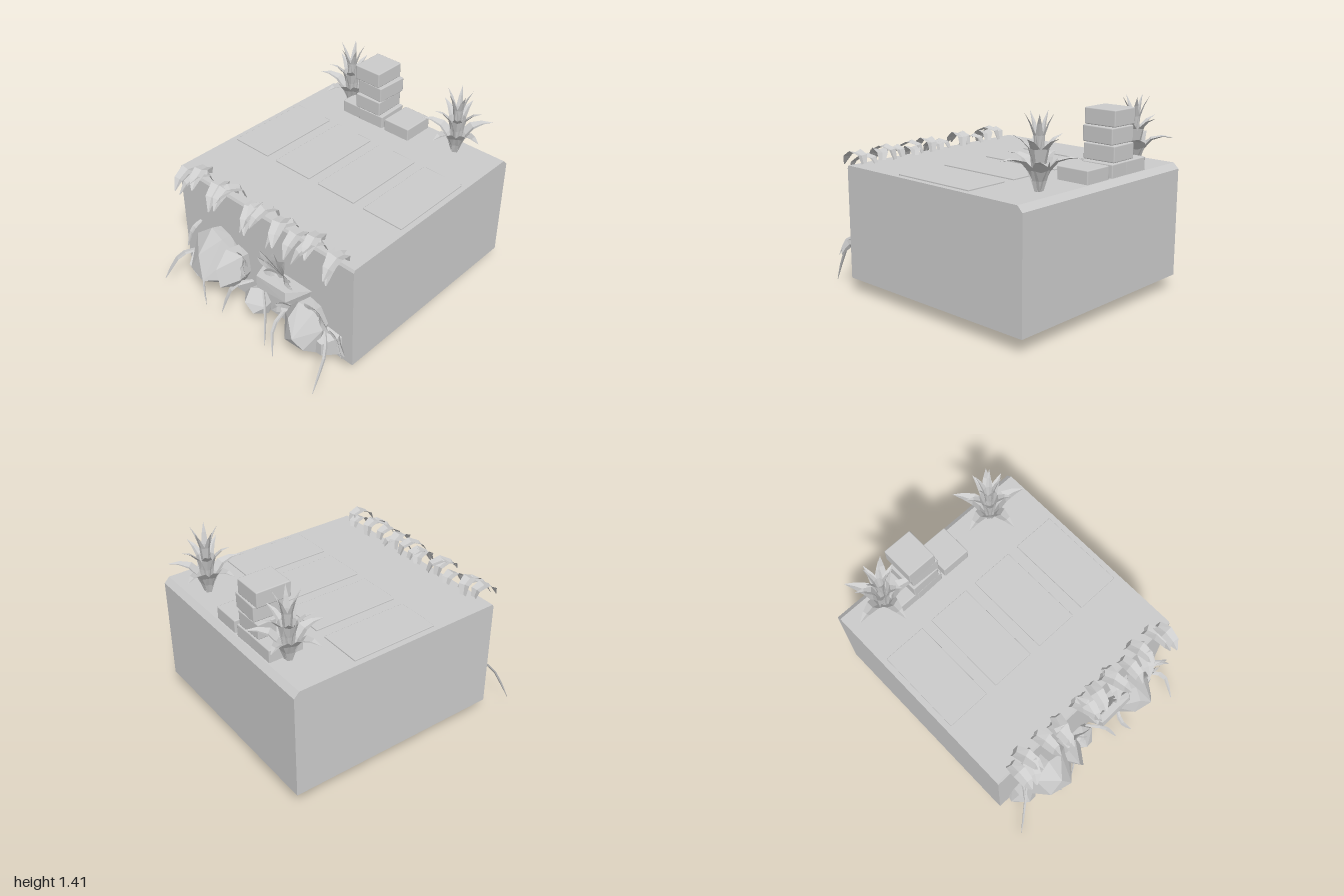
import * as THREE from 'three';
import { ConvexGeometry } from 'three/addons/geometries/ConvexGeometry.js';
import { RoundedBoxGeometry } from 'three/addons/geometries/RoundedBoxGeometry.js';

const V = (p) => new THREE.Vector3(...p);
const UP = V([0, 1, 0]);
const FRONT = V([0, 0, 1]);

export function createModel() {
  const root = new THREE.Group();
  root.name = 'plantedBlock';
  const solid = new THREE.MeshStandardMaterial({ color: 0xcccccc, flatShading: true });
  const smooth = new THREE.MeshStandardMaterial({ color: 0xcccccc });
  const thin = new THREE.MeshStandardMaterial({ color: 0xcccccc, flatShading: true, side: THREE.DoubleSide });

  function add(parent, name, geometry, material, x = 0, y = 0, z = 0) {
    const mesh = new THREE.Mesh(geometry, material);
    mesh.name = name;
    mesh.position.set(x, y, z);
    parent.add(mesh);
    return mesh;
  }
  function group(name) {
    const g = new THREE.Group();
    g.name = name;
    root.add(g);
    return g;
  }

  // Folded leaf blade swept along a path; widths run from base to tip
  function leaf(points, widths, axis = UP, fold = 0.15) {
    const curve = new THREE.CatmullRomCurve3(points.map(V));
    const chord = V(points.at(-1)).sub(V(points[0]));
    const side = chord.clone().cross(axis).normalize();
    const n = widths.length - 1, pos = [], index = [];
    for (let i = 0; i <= n; i++) {
      const c = curve.getPoint(i / n);
      const normal = side.clone().cross(curve.getTangent(i / n)).normalize();
      for (const s of [-1, 0, 1]) {
        const p = c.clone().addScaledVector(side, s * widths[i] / 2);
        if (s) p.addScaledVector(normal, widths[i] * fold);
        pos.push(p.x, p.y, p.z);
      }
      if (i < n) for (const j of [0, 1]) {
        const a = i * 3 + j;
        index.push(a, a + 1, a + 3, a + 1, a + 4, a + 3);
      }
    }
    const g = new THREE.BufferGeometry();
    g.setAttribute('position', new THREE.Float32BufferAttribute(pos, 3));
    g.setIndex(index);
    g.computeVertexNormals();
    return g;
  }

  // Main block with its bevelled back edge
  const section = new THREE.Shape([[-0.71, 0.1], [0.92, 0.1], [0.92, 0.88], [0.88, 0.92], [-0.7, 0.92], [-0.71, 0.9]]
    .map(([a, b]) => new THREE.Vector2(a, b)));
  const block = new THREE.ExtrudeGeometry(section, { depth: 1.63, bevelEnabled: false });
  block.rotateY(Math.PI / 2).translate(-0.815, 0, 0);
  add(root, 'block', block, solid);

  // Four thin panels on the top
  const panels = group('panels');
  for (let i = 0; i < 4; i++)
    add(panels, 'panel', new RoundedBoxGeometry(0.325, 0.02, 0.65, 1, 0.004), smooth, -0.612 + i * 0.408, 0.92, -0.113);

  // Stacked bricks at the back: x, y, z, turn
  const bricks = group('bricks');
  for (const [x, y, z, turn] of [
    [-0.365, 0.957, -0.745, 0], [-0.21, 0.957, -0.745, 0.03], [0.04, 0.957, -0.745, 0],
    [-0.235, 1.072, -0.74, 0.02], [-0.217, 1.192, -0.745, -0.04], [-0.242, 1.305, -0.738, 0],
  ]) add(bricks, 'brick', new RoundedBoxGeometry(0.222, 0.112, 0.25, 1, 0.008), smooth, x, y, z).rotation.y = turn;

  // Spiky plants in three tiers of leaves
  const tiers = [
    { count: 5, phase: 20, width: 0.115, path: [[0.02, 0], [0.06, 0.11], [0.14, 0.2], [0.265, 0.21]] },
    { count: 5, phase: 56, width: 0.085, path: [[0.02, 0], [0.04, 0.16], [0.08, 0.29], [0.17, 0.35]] },
    { count: 5, phase: 30, width: 0.06, path: [[0.01, 0], [0.02, 0.22], [0.045, 0.38], [0.095, 0.49]] },
  ];
  for (const x of [-0.51, 0.48]) {
    const plant = group('spikyPlant');
    plant.position.set(x, 0.92, -0.75);
    for (const { count, phase, width, path } of tiers)
      for (let i = 0; i < count; i++) {
        const a = THREE.MathUtils.degToRad(phase + i * 360 / count);
        const pts = path.map(([r, y]) => [r * Math.cos(a), y, r * Math.sin(a)]);
        add(plant, 'spikyLeaf', leaf(pts, [0.5, 0.8, 1, 0.8, 0.45, 0.01].map((w) => w * width), UP, 0.2), thin);
      }
  }

  // Leaves drooping over the front edge
  const edge = group('edgeLeaves');
  const roots = [-0.67, -0.61, -0.52, -0.43, -0.3, -0.22, -0.1, 0, 0.09, 0.17, 0.27, 0.36, 0.46, 0.55, 0.63, 0.71];
  roots.forEach((x, i) => {
    const lean = 0.035 * Math.sin(i * 2.3), drop = 0.05 * Math.sin(i * 1.7), z = 0.02 * Math.cos(i * 2.9);
    add(edge, 'edgeLeaf', leaf([
      [x, 0.9, 0.64 + z], [x + lean, 0.985 + drop * 0.4, 0.68 + z],
      [x + lean * 2, 0.96 + drop * 0.5, 0.79 + z], [x + lean * 3, 0.87 + drop, 0.86 + z],
    ], [0.04, 0.08, 0.1, 0.08, 0.01]), thin);
  });

  // Faceted rocks: outline against the front wall plus a few foremost corners
  const rocks = group('rocks');
  function rock(outline, depth, tips) {
    const cx = outline.reduce((s, p) => s + p[0], 0) / outline.length;
    const cy = outline.reduce((s, p) => s + p[1], 0) / outline.length;
    const pts = tips.map(V);
    outline.forEach(([x, y], i) => {
      pts.push(V([x, y, depth + 0.03 * Math.sin(i * 2.4)]));
      pts.push(V([cx + (x - cx) * 0.85, cy + (y - cy) * 0.85, 0.69]));
    });
    add(rocks, 'rock', new ConvexGeometry(pts), solid);
  }
  rock([[-0.42, 0.63], [-0.56, 0.52], [-0.61, 0.37], [-0.6, 0.22], [-0.48, 0.18], [-0.3, 0.18], [-0.2, 0.3], [-0.22, 0.5], [-0.31, 0.59]],
    0.79, [[-0.42, 0.47, 0.93], [-0.52, 0.3, 0.93], [-0.35, 0.3, 0.97]]);
  rock([[-0.31, 0.42], [-0.25, 0.55], [-0.14, 0.52], [-0.12, 0.35], [-0.18, 0.24], [-0.29, 0.22]],
    0.8, [[-0.24, 0.44, 0.93], [-0.2, 0.31, 0.94]]);
  rock([[-0.74, 0.16], [-0.68, 0.28], [-0.6, 0.29], [-0.52, 0.17], [-0.52, 0.1], [-0.58, 0.07], [-0.7, 0.1]],
    0.75, [[-0.65, 0.2, 0.85], [-0.58, 0.12, 0.84]]);
  rock([[-0.16, 0.17], [-0.08, 0.27], [0, 0.28], [0.07, 0.18], [0.06, 0.1], [-0.02, 0.07], [-0.12, 0.1]],
    0.75, [[-0.06, 0.2, 0.85], [0.01, 0.13, 0.84]]);
  rock([[0.28, 0.29], [0.31, 0.15], [0.48, 0.12], [0.59, 0.14], [0.62, 0.34], [0.55, 0.47], [0.44, 0.5], [0.36, 0.43]],
    0.79, [[0.5, 0.3, 0.95], [0.42, 0.4, 0.9], [0.39, 0.2, 0.91], [0.56, 0.21, 0.91]]);

  // Angular slabs set into the front wall
  const slab = (pts) => add(rocks, 'slab', new ConvexGeometry(pts.map(V)), solid);
  slab([[0.07, 0.52, 0.84], [0.34, 0.53, 0.84], [0.35, 0.46, 0.85], [0.08, 0.43, 0.85],
    [0.02, 0.53, 0.7], [0.46, 0.53, 0.7], [0.4, 0.36, 0.7], [0.02, 0.35, 0.7]]);
  slab([[0.36, 0.15, 0.82], [0.64, 0.15, 0.82], [0.64, 0.25, 0.82], [0.4, 0.3, 0.82],
    [0.3, 0.14, 0.7], [0.73, 0.14, 0.7], [0.73, 0.3, 0.7], [0.35, 0.34, 0.7]]);

  // Broad leaves sprouting among the rocks: base followed by leaf tips
  const bush = group('rockLeaves');
  for (const [[x, y], z, tips] of [
    [[0.21, 0.52], 0.75, [[0.05, 0.64], [0.09, 0.73], [0.19, 0.75], [0.3, 0.74], [0.37, 0.63], [0.36, 0.54], [0.09, 0.54], [0.22, 0.6]]],
    [[-0.15, 0.46], 0.76, [[-0.02, 0.53], [-0.06, 0.42], [-0.12, 0.57]]],
    [[0.56, 0.42], 0.77, [[0.5, 0.53], [0.61, 0.52], [0.67, 0.46], [0.71, 0.4]]],
    [[0.33, 0.34], 0.78, [[0.2, 0.29], [0.25, 0.38]]],
    [[0.72, 0.32], 0.75, [[0.83, 0.26]]],
  ]) tips.forEach(([tx, ty], i) => {
    const bend = 0.05 + 0.015 * Math.sin(i * 2);
    add(bush, 'rockLeaf', leaf([
      [x, y, z - 0.02], [x + (tx - x) * 0.5, y + (ty - y) * 0.55 + 0.035, z + bend * 0.7], [tx, ty, z + bend],
    ], [0.025, 0.06, 0.075, 0.06, 0.01], FRONT), thin);
  });

  // Slender blades arching out at the foot: start, bend and tip
  const blades = group('slenderBlades');
  for (const pts of [
    [[-0.6, 0.33, 0.76], [-0.72, 0.26, 0.86], [-0.83, 0.02, 0.95]],
    [[-0.53, 0.26, 0.76], [-0.45, 0.19, 0.88], [-0.39, 0.02, 0.93]],
    [[-0.08, 0.32, 0.74], [-0.18, 0.27, 0.83], [-0.26, 0.01, 0.9]],
    [[0.02, 0.32, 0.74], [0.13, 0.22, 0.83], [0.2, 0.01, 0.92]],
    [[0.3, 0.35, 0.76], [0.26, 0.2, 0.88], [0.32, 0.02, 0.96]],
    [[0.62, 0.34, 0.76], [0.72, 0.28, 0.86], [0.73, 0, 1]],
    [[0.64, 0.32, 0.74], [0.76, 0.36, 0.8], [0.83, 0.25, 0.83]],
    [[-0.62, 0.55, 0.72], [-0.65, 0.49, 0.78], [-0.68, 0.34, 0.82]],
  ]) add(blades, 'slenderBlade', leaf(pts, [0.02, 0.032, 0.034, 0.03, 0.024, 0.005], FRONT), thin);

  return root;
}
